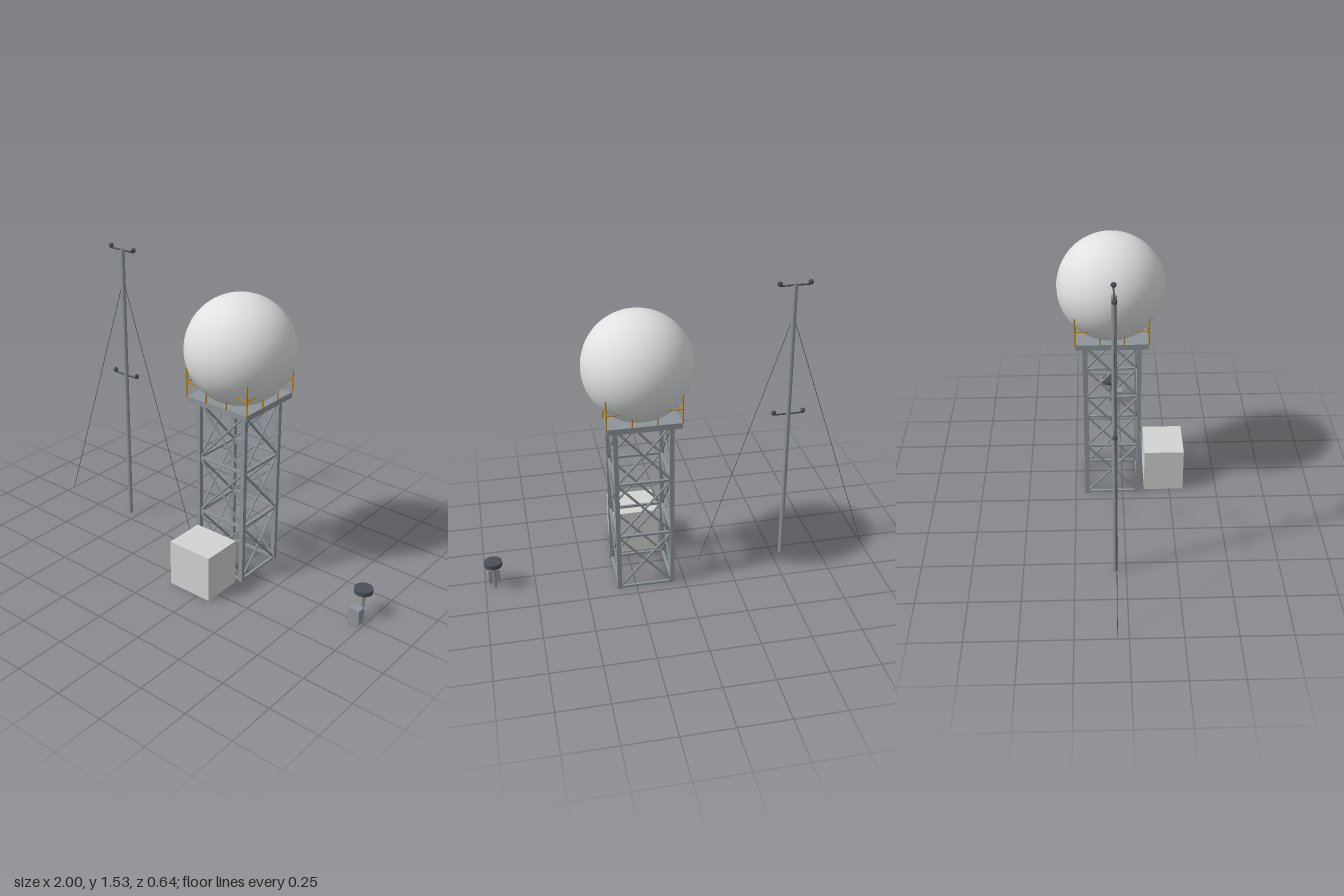
import * as THREE from 'three';

const mat = (name, color) => {
  const m = new THREE.MeshStandardMaterial({ color });
  m.name = name;
  return m;
};

export function createModel() {
  const white = mat('radomeWhite', 0xe0e2e2);
  const shelterGrey = mat('shelterGrey', 0xd2d4d4);
  const steel = mat('steel', 0x8e959a);
  const dark = mat('darkMetal', 0x4a4f56);
  const gold = mat('railYellow', 0xbf8a1e);

  const root = new THREE.Group();
  root.name = 'radarStation';
  const Z = -0.053; // shared depth of tower, mast and sensor

  const group = (name, x, z, parent = root) => {
    const g = new THREE.Group();
    g.name = name;
    g.position.set(x, 0, z);
    parent.add(g);
    return g;
  };
  const add = (parent, name, geo, material, x = 0, y = 0, z = 0) => {
    const m = new THREE.Mesh(geo, material);
    m.name = name;
    m.position.set(x, y, z);
    parent.add(m);
    return m;
  };
  const box = (parent, name, material, w, h, d, x, y, z) =>
    add(parent, name, new THREE.BoxGeometry(w, h, d), material, x, y, z);
  // round rod between two points
  const rod = (parent, name, material, a, b, r, sides = 6) => {
    const p = new THREE.Vector3(...a), q = new THREE.Vector3(...b);
    const dir = q.clone().sub(p);
    const m = add(parent, name, new THREE.CylinderGeometry(r, r, dir.length(), sides), material);
    m.position.copy(p).add(q).multiplyScalar(0.5);
    m.quaternion.setFromUnitVectors(new THREE.Vector3(0, 1, 0), dir.normalize());
    return m;
  };

  // lattice tower: every side is the same, turned by quarter turns
  const tower = group('tower', 0.2, Z);
  const H = 0.135, BAY = 0.3, Y0 = 0.006, DECK = 0.935, R = 0.18;
  for (let i = 0; i < 4; i++) {
    const side = group('towerSide', 0, 0, tower);
    side.rotation.y = i * Math.PI / 2;
    box(side, 'towerLeg', steel, 0.022, 0.906, 0.022, H, 0.453, H);
    for (let k = 0; k <= 3; k++) {
      box(side, 'crossBeam', steel, 2 * H, 0.012, 0.012, 0, Y0 + k * BAY - (k === 3 ? 0.004 : 0), H);
    }
    for (let k = 0; k < 3; k++) {
      const lo = Y0 + k * BAY, hi = lo + BAY;
      for (const s of [-1, 1]) rod(side, 'diagonalBrace', steel, [-s * H, lo, H], [s * H, hi, H], 0.006);
    }
    // railing along this side of the deck
    for (const x of [-0.06, 0.06, R]) rod(side, 'railPost', gold, [x, DECK, R], [x, 1.085, R], 0.004);
    rod(side, 'handRail', gold, [-R, 1.01, R], [R, 1.01, R], 0.0035);
  }
  box(tower, 'deck', steel, 0.358, 0.029, 0.358, 0, 0.921, 0);
  add(tower, 'radome', new THREE.SphereGeometry(0.268, 40, 28), white, 0, 1.167, 0);

  // equipment shelter in front of the tower
  box(root, 'shelter', shelterGrey, 0.242, 0.241, 0.208, 0.199, 0.1205, 0.219);

  // guyed mast with two sensor arms
  const mast = group('mast', -0.55, Z);
  rod(mast, 'mastPole', steel, [0, 0, 0], [0, 1.506, 0], 0.012, 10);
  for (const y of [1.505, 0.832]) {
    rod(mast, 'sensorArm', dark, [-0.076, y, 0], [0.076, y, 0], 0.004);
    for (const s of [-1, 1]) {
      add(mast, 'sensorBall', new THREE.SphereGeometry(0.0125, 12, 10), dark, s * 0.075, y + 0.011, 0);
    }
  }
  for (const s of [-1, 1]) rod(mast, 'guyWire', dark, [0, 1.35, 0], [s * 0.449, 0.008, 0], 0.0015, 5);

  // small ground sensor
  const sensor = group('groundSensor', 0.952, Z);
  rod(sensor, 'sensorPole', steel, [0, 0, 0], [0, 0.14, 0], 0.009, 10);
  add(sensor, 'sensorDisc', new THREE.CylinderGeometry(0.045, 0.045, 0.023, 16), dark, 0, 0.146, 0);
  box(sensor, 'sensorCabinet', steel, 0.058, 0.077, 0.044, 0, 0.0385, 0.055);

  return root;
}
